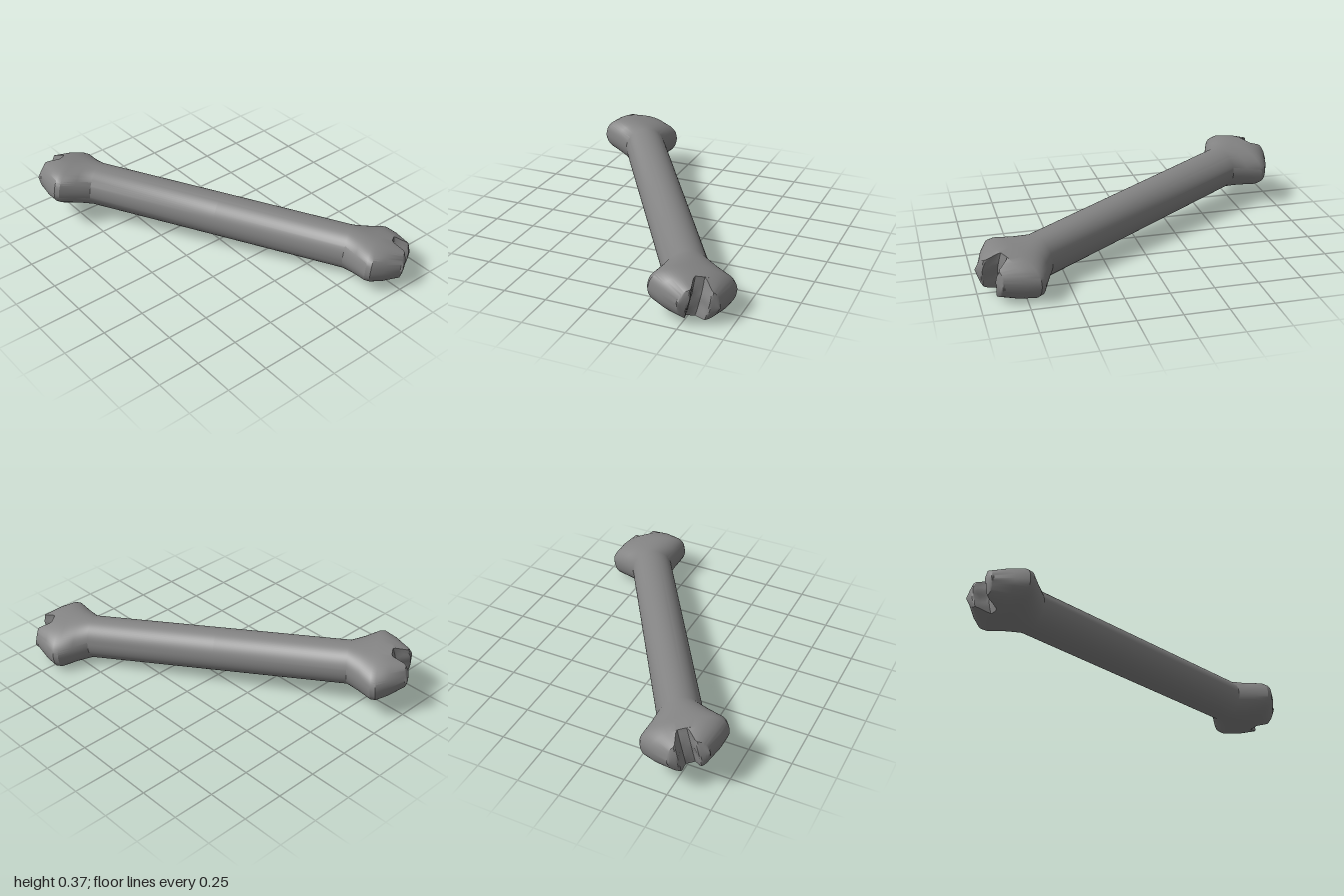
import * as THREE from 'three';
import { toCreasedNormals } from 'three/addons/utils/BufferGeometryUtils.js';

const SIDES = 72;
// half-bone sections: [distance along, half width, half height, roundness exponent]
const BODY = [
  [0.0, 0.125, 0.127, 2],
  [0.775, 0.125, 0.127, 2],
  [0.85, 0.178, 0.124, 2.15],
  [0.925, 0.234, 0.122, 2.4],
  [0.955, 0.236, 0.122, 2.4],
  [1.02, 0.191, 0.117, 2.3],
];
const NECK = BODY[BODY.length - 1];
const TIP = [1.115, 0.114, 0.088, 2.3];

function ringPoint(j, hw, hh, n) {
  const a = (j / SIDES) * Math.PI * 2, c = Math.cos(a), s = Math.sin(a);
  const p = 2 / n;
  return [hw * Math.sign(c) * Math.abs(c) ** p, hh * Math.sign(s) * Math.abs(s) ** p];
}

// depth of the slightly ragged cleft between the two knuckles
function cleft(v, y) {
  const d = Math.abs(v) + 0.003 * Math.sin(60 * y);
  return 0.083 * (1 - THREE.MathUtils.smoothstep(d, 0.024, 0.058));
}

// rings of [u, y, v] from the middle of the shaft to the closed tip
function halfRings() {
  const rings = BODY.map(([u, hw, hh, n]) => Array.from({ length: SIDES }, (_, j) => {
    const [v, y] = ringPoint(j, hw, hh, n);
    return [u, y, v];
  }));
  // sloping knuckle rim, lowered inside the cleft
  const rim = [];
  for (let j = 0; j < SIDES; j++) {
    const [v, y] = ringPoint(j, TIP[1], TIP[2], TIP[3]);
    const u = TIP[0] - 0.012 - cleft(v, y);
    const lift = THREE.MathUtils.lerp(NECK[2], TIP[2], (u - NECK[0]) / (TIP[0] - NECK[0]));
    rim.push([u, (y * lift) / TIP[2], v]);
  }
  rings.push(rim);
  // end face, closing on the centre line
  for (const k of [0.8, 0.6, 0.4, 0.2, 0]) {
    rings.push(rim.map(([, y, v]) => [
      TIP[0] + 0.003 - 0.015 * k * k - cleft(v, y * k), y * k, v,
    ]));
  }
  return rings;
}

export function createModel() {
  const half = halfRings();
  const mirrored = half.slice(1).reverse().map((r) => r.map(([u, y, v]) => [-u, y, v]));
  const rings = [...mirrored, ...half];

  const pos = [], index = [];
  rings.forEach((r) => r.forEach((p) => pos.push(...p)));
  for (let i = 0; i < rings.length - 1; i++) {
    for (let j = 0; j < SIDES; j++) {
      const k = (j + 1) % SIDES;
      const a = i * SIDES + j, b = i * SIDES + k, c = a + SIDES, d = b + SIDES;
      index.push(a, c, b, b, c, d);
    }
  }
  let geo = new THREE.BufferGeometry();
  geo.setAttribute('position', new THREE.Float32BufferAttribute(pos, 3));
  geo.setIndex(index);

  // roll the bone about its length, then lay it diagonally with its right end lower
  const U = new THREE.Vector3(0.846, -0.057, -0.533).normalize();
  const V = new THREE.Vector3(0.533, 0, 0.846).normalize();
  const W = new THREE.Vector3().crossVectors(V, U);
  geo.rotateX(-0.2);
  geo.applyMatrix4(new THREE.Matrix4().makeBasis(U, W, V).setPosition(0, 0.19, 0));
  geo = toCreasedNormals(geo, 0.55);

  const bone = new THREE.Mesh(geo, new THREE.MeshStandardMaterial({ color: 0x838383 }));
  bone.name = 'bone';
  const group = new THREE.Group();
  group.name = 'boneModel';
  group.add(bone);
  return group;
}
